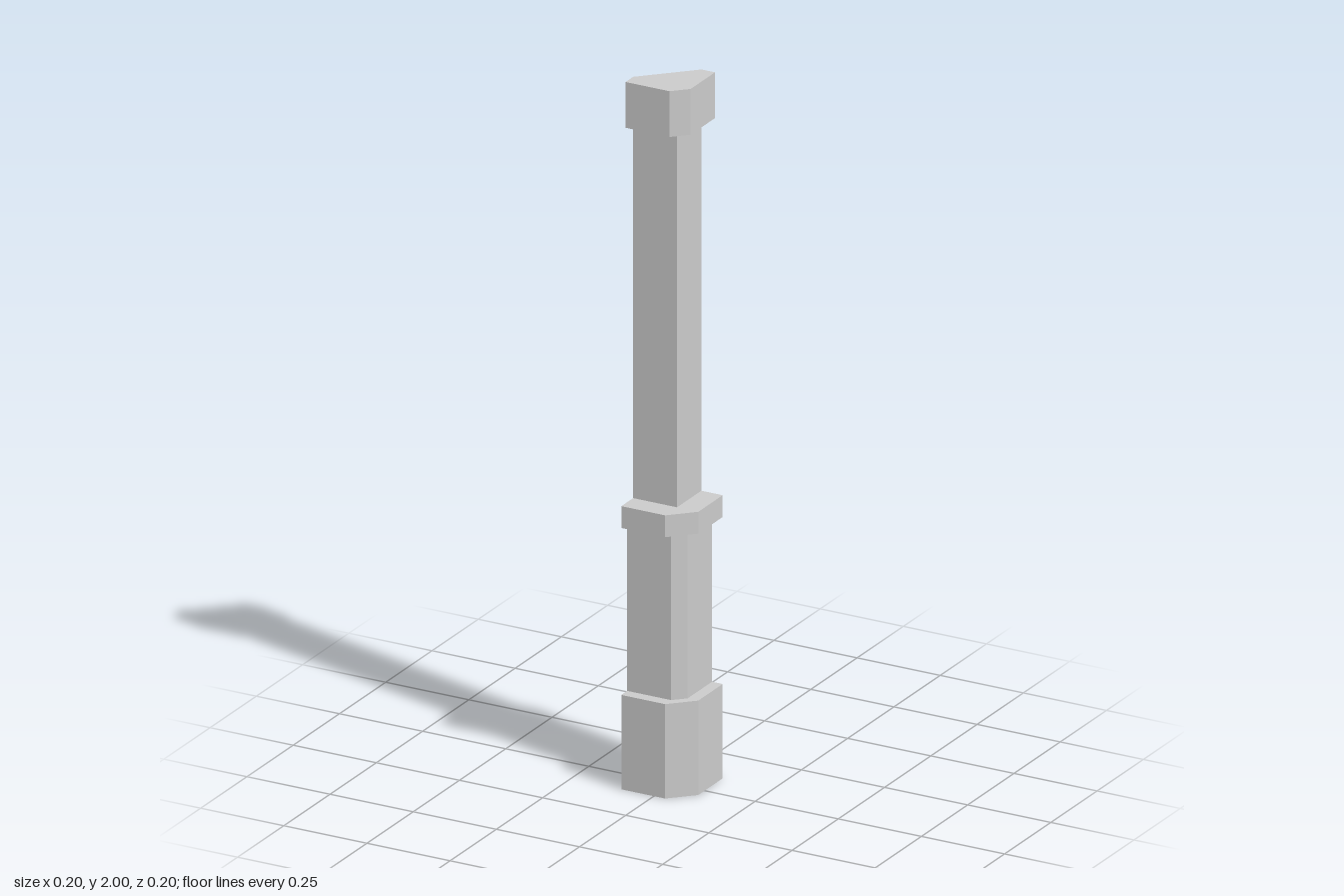
import * as THREE from 'three';

const END = 0.098;   // far ends of the two wings
const CORE = 0.034;  // faces of the triangular core

const material = new THREE.MeshStandardMaterial({ color: 0xcccccc, flatShading: true });

// Upright prism with a flat diagonal back; reach is how far its front faces stand out
function section(name, reach, bottom, top) {
  const plan = reach > CORE
    ? [[-END, CORE], [-END, reach], [CORE, reach], [reach, CORE], [reach, -END], [CORE, -END]]
    : [[-END, CORE], [CORE, CORE], [CORE, -END]];
  const shape = new THREE.Shape(plan.map(([x, z]) => new THREE.Vector2(x, -z)));
  const geometry = new THREE.ExtrudeGeometry(shape, { depth: top - bottom, bevelEnabled: false });
  geometry.rotateX(-Math.PI / 2);
  const mesh = new THREE.Mesh(geometry, material);
  mesh.name = name;
  mesh.position.y = bottom;
  return mesh;
}

export function createModel() {
  const group = new THREE.Group();
  group.name = 'cornerPilaster';
  group.add(
    section('base', END, 0, 0.268),
    section('pedestal', 0.066, 0.268, 0.742),
    section('band', END, 0.742, 0.804),
    section('shaft', CORE, 0.804, 1.87),
    section('capital', 0.075, 1.87, 2),
  );
  return group;
}
